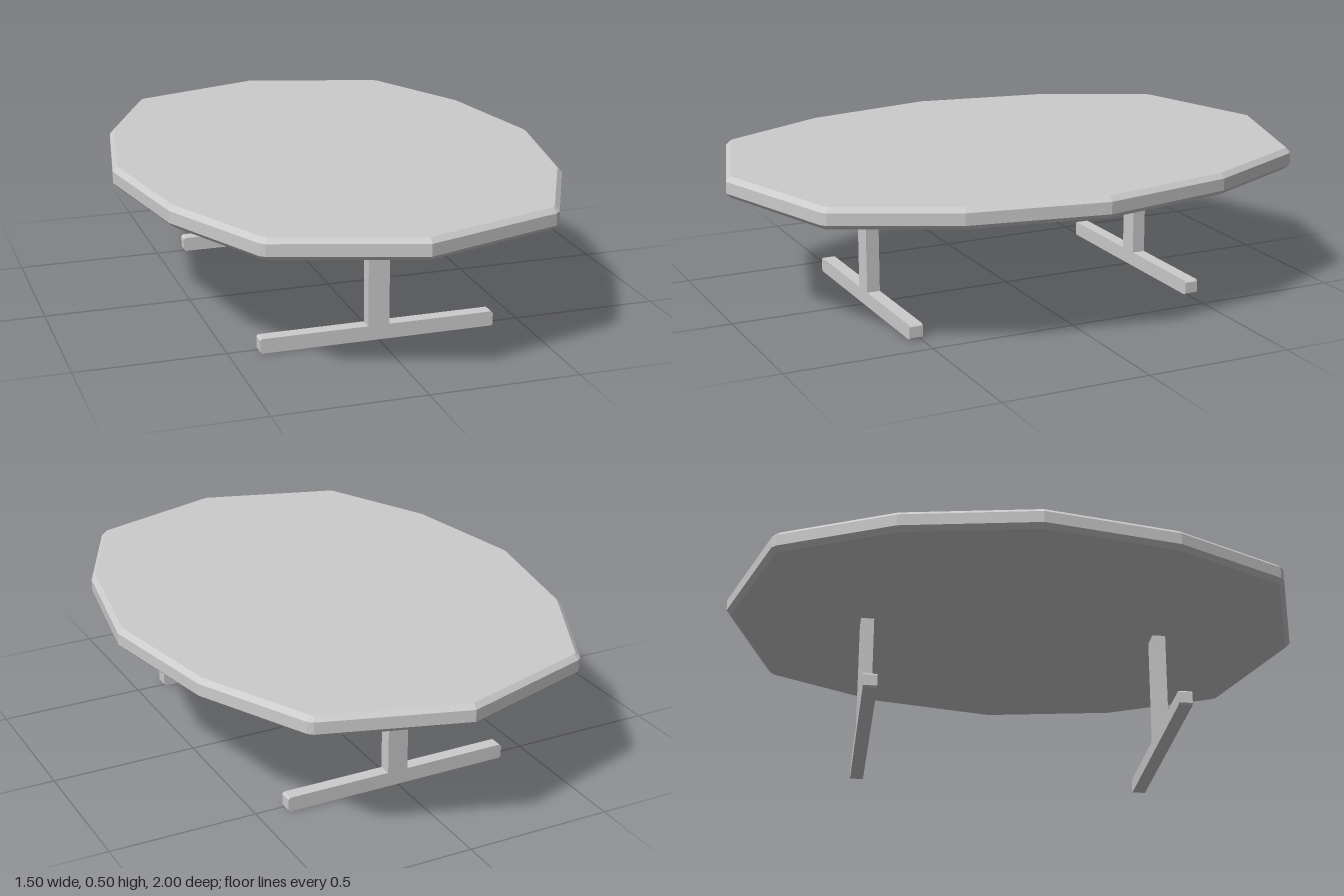
import * as THREE from 'three';

const material = new THREE.MeshStandardMaterial({ color: 0xcccccc, flatShading: true });

function polygon(points) {
  return new THREE.Shape(points.map(([x, y]) => new THREE.Vector2(x, y)));
}

function addMesh(parent, name, geometry) {
  const mesh = new THREE.Mesh(geometry, material);
  mesh.name = name;
  parent.add(mesh);
  return mesh;
}

// Twelve-sided oval slab with chamfered rims and slightly clipped outer corners
function tableTopGeometry() {
  const quarter = [[0.75, 0], [0.667, 0.46], [0.484, 0.838], [0.468, 0.852], [0, 1]];
  const half = [...quarter, ...quarter.slice(0, -1).reverse().map(([x, y]) => [-x, y])];
  const outline = [...half, ...half.slice(1, -1).reverse().map(([x, y]) => [x, -y])];
  const bevel = 0.016;
  const geometry = new THREE.ExtrudeGeometry(polygon(outline), {
    depth: 0.072 - 2 * bevel,
    bevelThickness: bevel,
    bevelSize: bevel,
    bevelOffset: -bevel,
    bevelSegments: 1,
  });
  geometry.rotateX(-Math.PI / 2);
  geometry.translate(0, 0.428 + bevel, 0);
  return geometry;
}

// Upside-down T: a long foot with clipped ends and a central post
function legGeometry() {
  const foot = 0.4, clip = 0.006, post = 0.036, height = 0.05, top = 0.435;
  const right = [
    [foot - clip, 0], [foot, clip], [foot, height - clip],
    [foot - clip, height], [post, height], [post, top],
  ];
  const left = right.map(([x, y]) => [-x, y]).reverse();
  const depth = 0.046;
  const geometry = new THREE.ExtrudeGeometry(polygon([...right, ...left]), {
    depth, bevelEnabled: false,
  });
  geometry.translate(0, 0, -depth / 2);
  return geometry;
}

export function createModel() {
  const table = new THREE.Group();
  table.name = 'table';
  addMesh(table, 'tableTop', tableTopGeometry());

  // One T-shaped leg near each end
  const leg = legGeometry();
  for (const [name, z] of [['frontLeg', 0.514], ['backLeg', -0.514]]) {
    addMesh(table, name, leg).position.z = z;
  }
  return table;
}
